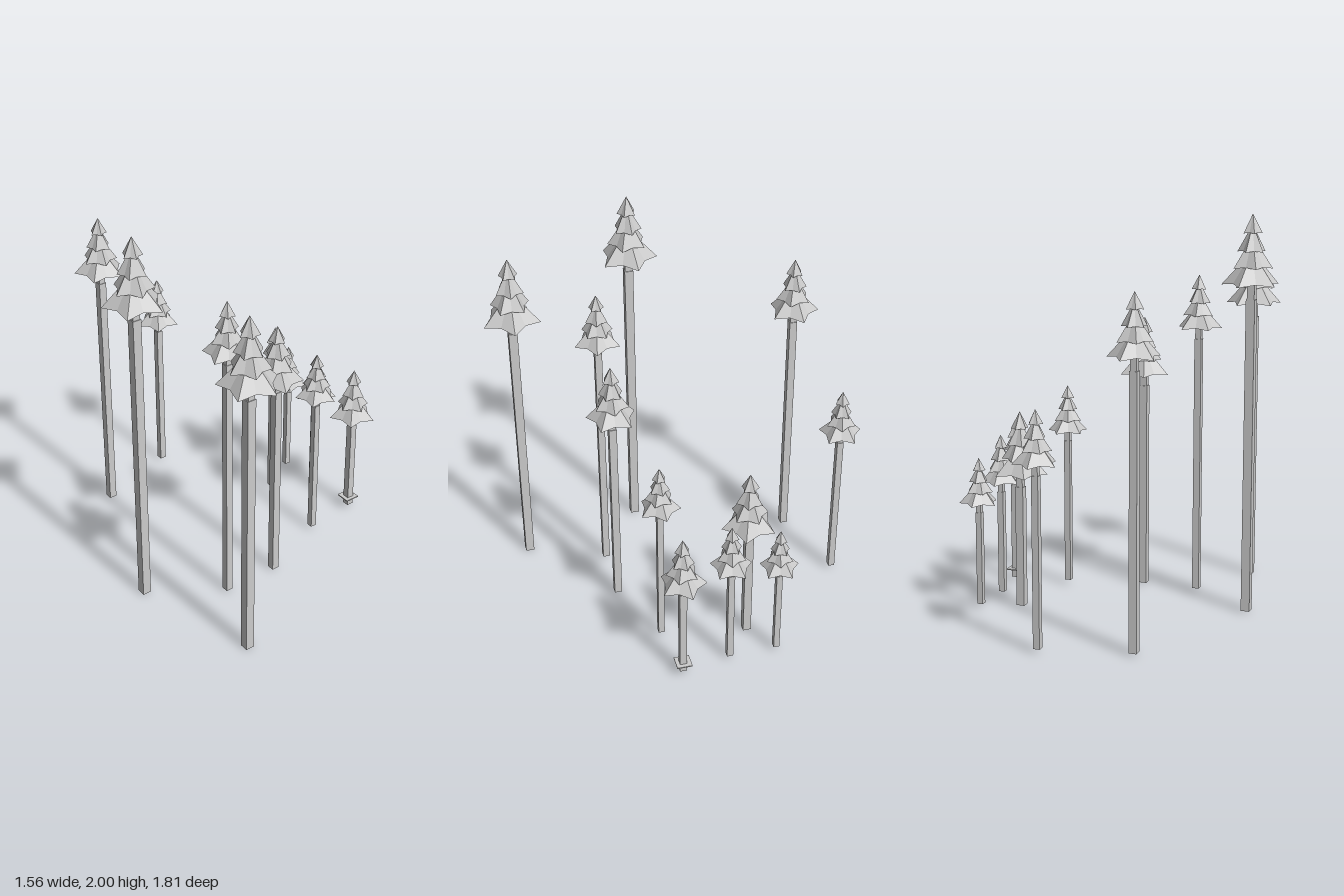
import * as THREE from 'three';

// Each tree: x, z, foot height, trunk top, tree top, twist of the lowest tier in degrees
const TREES = [
  [-0.65, 0.13, 0.005, 1.585, 2.0, 9],
  [-0.48, 0.765, 0, 1.415, 1.83, 20],
  [-0.34, -0.66, 0.01, 1.34, 1.7, 10],
  [-0.305, 0.37, 0.012, 1.34, 1.67, 30],
  [-0.01, 0.37, 0.01, 1.08, 1.44, -18],
  [0.09, -0.795, 0.02, 0.85, 1.16, -4],
  [0.365, 0.225, 0.025, 0.785, 1.08, 12],
  [0.44, -0.21, 0.01, 0.63, 1.015, -32],
  [0.615, -0.07, 0.02, 0.555, 0.855, -6],
  [0.62, -0.315, 0.027, 0.505, 0.785, -4],
  [0.655, 0.185, 0.02, 0.53, 0.865, 8],
];

// Foliage tiers as fractions of crown height: radius, rim height, apex height
const TIERS = [
  [0.36, 0.17, 0.57],
  [0.245, 0.37, 0.74],
  [0.175, 0.56, 0.88],
  [0.12, 0.775, 1],
];

// Closed five-pointed skirt with ridges at the tips and raised notches
function starCone(radius, rim, apex, twist) {
  const ring = [];
  for (let i = 0; i < 10; i++) {
    const a = twist + (i * Math.PI) / 5;
    const r = i % 2 ? radius * 0.69 : radius;
    const y = i % 2 ? rim + radius * 0.07 : rim;
    ring.push([Math.sin(a) * r, y, -Math.cos(a) * r]);
  }
  const top = [0, apex, 0];
  const base = [0, rim + radius * 0.1, 0];
  const points = [];
  ring.forEach((p, i) => {
    const q = ring[(i + 1) % 10];
    points.push(...top, ...q, ...p, ...base, ...p, ...q);
  });
  const geometry = new THREE.BufferGeometry();
  geometry.setAttribute('position', new THREE.Float32BufferAttribute(points, 3));
  geometry.computeVertexNormals();
  return geometry;
}

export function createModel() {
  const model = new THREE.Group();
  model.name = 'treeGrove';
  const grey = new THREE.MeshStandardMaterial({ color: 0xcccccc });
  grey.name = 'paleGrey';

  const add = (parent, name, geometry, y = 0) => {
    const mesh = new THREE.Mesh(geometry, grey);
    mesh.name = name;
    mesh.position.y = y;
    parent.add(mesh);
  };

  TREES.forEach(([x, z, foot, trunkTop, top, degrees], n) => {
    const tree = new THREE.Group();
    tree.name = `tree${n + 1}`;
    tree.position.set(x, 0, z);
    const h = top - trunkTop;
    const twist = THREE.MathUtils.degToRad(degrees);

    // Tall square trunk and the slimmer stem inside the crown
    add(tree, 'trunk', new THREE.BoxGeometry(h * 0.108, trunkTop - foot, h * 0.108), (trunkTop + foot) / 2);
    add(tree, 'stem', new THREE.BoxGeometry(h * 0.09, h * 0.3, h * 0.09), trunkTop + h * 0.15);

    // Stacked tiers, each turned against the one below
    TIERS.forEach(([r, rim, apex], i) => {
      add(tree, `foliageTier${i + 1}`, starCone(r * h, rim * h, apex * h, twist + i * 0.63), trunkTop);
    });
    model.add(tree);
  });

  // Thin square plate around the foot of the last tree
  const plate = new THREE.Group();
  plate.name = 'basePlate';
  plate.position.set(0.655, 0.065, 0.183);
  add(plate, 'plate', new THREE.BoxGeometry(0.078, 0.006, 0.078));
  model.add(plate);

  return model;
}
